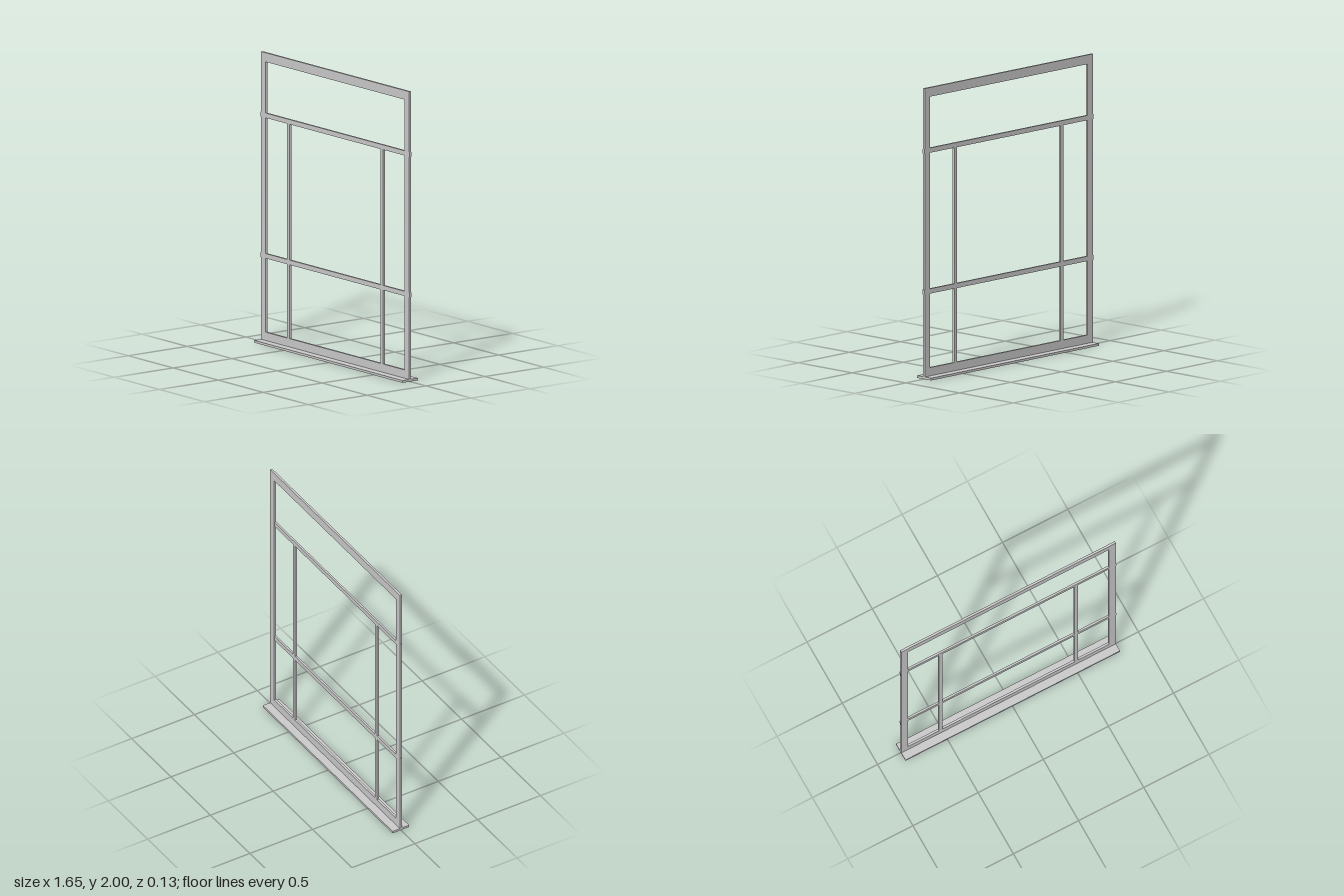
import * as THREE from 'three';

export function createModel() {
  const group = new THREE.Group();
  const material = new THREE.MeshStandardMaterial({ color: 0xcccccc });
  const halfWidth = 0.823, depth = 0.016;

  function add(name, geometry, x = 0, y = 0, z = 0) {
    const mesh = new THREE.Mesh(geometry, material);
    mesh.name = name;
    mesh.position.set(x, y, z);
    group.add(mesh);
  }
  // Bar given by its left, right, bottom and top edges
  function bar(name, x0, x1, y0, y1, d) {
    add(name, new THREE.BoxGeometry(x1 - x0, y1 - y0, d), (x0 + x1) / 2, (y0 + y1) / 2);
  }
  function rectangle(target, x, y0, y1) {
    target.moveTo(-x, y0);
    target.lineTo(x, y0);
    target.lineTo(x, y1);
    target.lineTo(-x, y1);
    target.closePath();
    return target;
  }

  // Outer frame with one large opening
  const outline = rectangle(new THREE.Shape(), halfWidth, 0.016, 2);
  outline.holes.push(rectangle(new THREE.Path(), 0.771, 0.073, 1.937));
  add('outerFrame', new THREE.ExtrudeGeometry(outline, { depth, bevelEnabled: false }), 0, 0, -depth / 2);

  // Cross rails, whose ends poke slightly through the frame
  bar('upperRail', -0.827, 0.827, 1.551, 1.584, 0.015);
  bar('lowerRail', -0.827, 0.827, 0.582, 0.615, 0.015);

  // Upright glazing bars, above and below the lower rail
  for (const [side, x] of [['left', 0.52], ['right', -0.52]]) {
    bar(side + 'LowerMullion', x - 0.0135, x + 0.0135, 0.073, 0.582, 0.015);
    bar(side + 'UpperMullion', x - 0.0135, x + 0.0135, 0.615, 1.551, 0.015);
  }

  // Flat sill
  bar('sill', -halfWidth, halfWidth, 0, 0.016, 0.132);

  return group;
}
